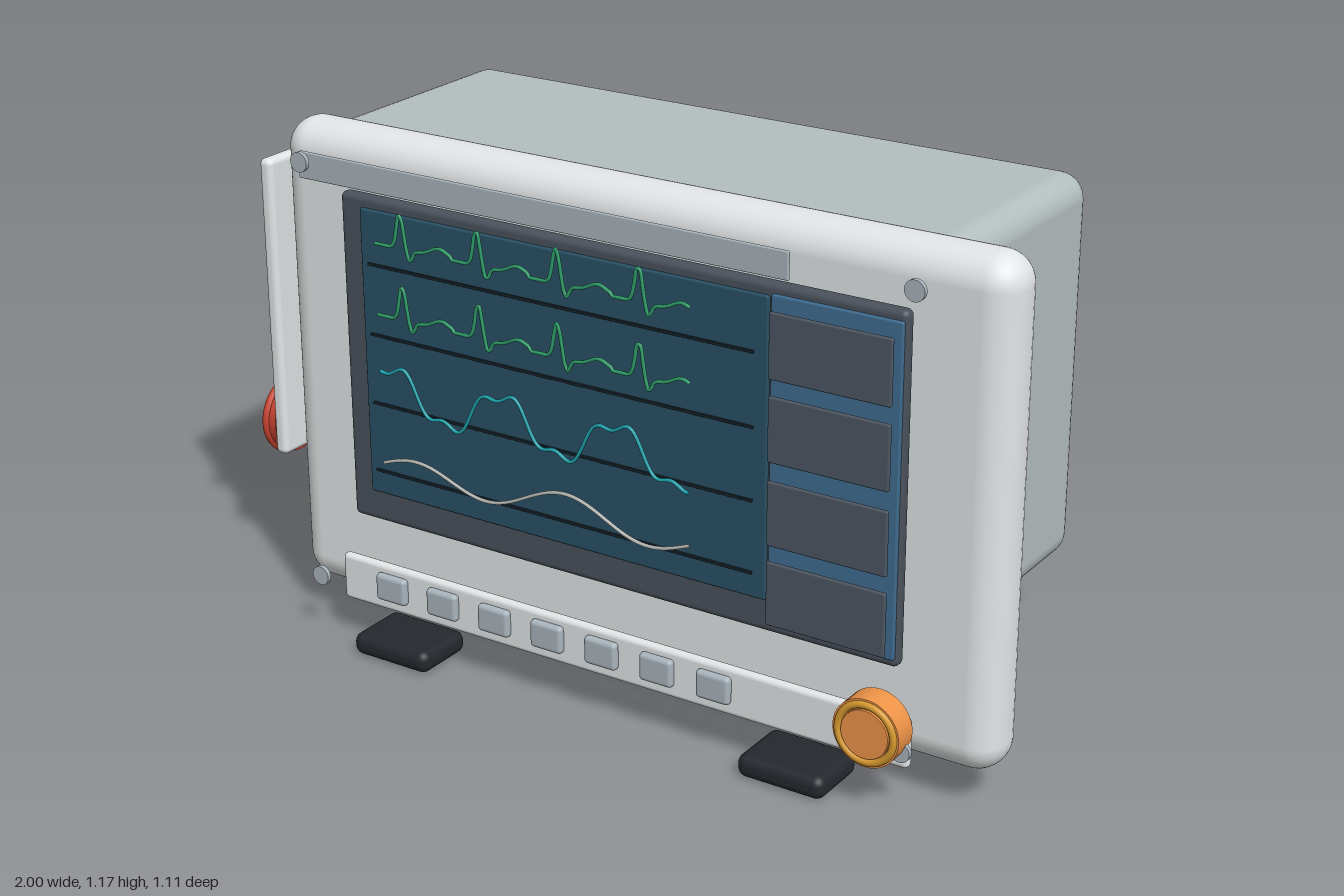
import * as THREE from 'three';
import { RoundedBoxGeometry } from 'three/addons/geometries/RoundedBoxGeometry.js';

const mat = (color) => new THREE.MeshStandardMaterial({ color });
const M = {
  body: mat(0xb4bebf), shell: mat(0xe2e5e6), light: mat(0xd0d6dc), silver: mat(0xa9b4bc),
  frame: mat(0x4a515b), blue: mat(0x3f6c90), screen: mat(0x285064), tile: mat(0x4c5661),
  black: mat(0x24282d), line: mat(0x17242c), orange: mat(0xee9448), gold: mat(0xd89a30),
  red: mat(0xc8432f), green: mat(0x2fa06c), cyan: mat(0x1fa5b0), white: mat(0xb9bdb8),
};

export function createModel() {
  const model = new THREE.Group();

  const add = (name, geometry, material, parent = model) => {
    const mesh = new THREE.Mesh(geometry, material);
    mesh.name = name;
    parent.add(mesh);
    return mesh;
  };
  // Rounded box given by its limits on each axis
  const box = (name, [x0, x1], [y0, y1], [z0, z1], r, material) => {
    const g = new RoundedBoxGeometry(x1 - x0, y1 - y0, z1 - z0, 5, r);
    add(name, g, material).position.set((x0 + x1) / 2, (y0 + y1) / 2, (z0 + z1) / 2);
  };
  // Disc facing +z, its back at z = z0
  const disc = (name, r, z0, depth, material, parent) => {
    const g = new THREE.CylinderGeometry(r, r, depth, 40).rotateX(Math.PI / 2);
    return add(name, g.translate(0, 0, z0 + depth / 2), material, parent);
  };

  // Housing and front bezel
  box('housing', [-0.89, 0.74], [0.175, 1.075], [-0.47, 0.28], 0.06, M.body);
  box('bezel', [-0.77, 1], [0.08, 1.17], [0.29, 0.43], 0.068, M.shell);
  box('rearHandle', [-0.925, -0.17], [0.225, 0.3], [-0.555, -0.385], 0.03, M.light);

  // Display
  box('screenFrame', [-0.57, 0.8], [0.3, 1.05], [0.435, 0.468], 0.014, M.frame);
  box('screen', [-0.51, 0.5], [0.375, 1.025], [0.465, 0.477], 0.004, M.screen);
  box('readoutPanel', [0.505, 0.795], [0.32, 1.03], [0.464, 0.475], 0.004, M.blue);
  for (const y of [0.4, 0.575, 0.755, 0.93])
    box('readoutTile', [0.51, 0.782], [y - 0.07, y + 0.07], [0.482, 0.492], 0.004, M.tile);
  for (const y of [0.43, 0.588, 0.746, 0.905])
    box('traceBaseline', [-0.49, 0.47], [y - 0.003, y + 0.003], [0.476, 0.482], 0.001, M.line);

  // Signal traces
  const bump = (t, c, w) => Math.exp(-(((t - c) / w) ** 2));
  const pulse = (x) => {
    const t = (((x + 0.46) / 0.2) % 1 + 1) % 1;
    return 0.075 * bump(t, 0.34, 0.06) - 0.025 * bump(t, 0.46, 0.05) + 0.018 * bump(t, 0.85, 0.15);
  };
  const wave = (x) => 0.63 + 0.055 * Math.cos((x + 0.14) * 21.7) + 0.015 * Math.cos((x + 0.1) * 65);
  const breath = (x) => 0.46 + 0.028 * Math.cos((x - 0.02) * 16) + 0.01 * Math.cos((x - 0.02) * 8);
  const traces = [
    [(x) => 0.96 + pulse(x), M.green], [(x) => 0.8 + pulse(x), M.green],
    [wave, M.cyan], [breath, M.white],
  ];
  for (const [f, material] of traces) {
    const pts = [];
    for (let i = 0; i <= 120; i++) {
      const x = -0.46 + (0.79 * i) / 120;
      pts.push(new THREE.Vector3(x, f(x), 0.49));
    }
    add('signalTrace', new THREE.TubeGeometry(new THREE.CatmullRomCurve3(pts), 300, 0.004, 6), material);
  }

  // Top strip and corner screws
  box('topStrip', [-0.67, 0.545], [1.065, 1.125], [0.471, 0.479], 0.003, M.silver);
  for (const x of [-0.65, 0.83])
    for (const y of [0.14, 1.108])
      disc('screw', 0.022, 0.492, 0.01, M.silver).position.set(x, y, 0);

  // Button strip
  box('buttonStrip', [-0.595, 0.84], [0.095, 0.205], [0.463, 0.487], 0.011, M.shell);
  for (let i = 0; i < 7; i++) {
    const x = -0.45 + i * 0.14;
    box('button', [x - 0.041, x + 0.041], [0.124, 0.188], [0.483, 0.504], 0.01, M.silver);
  }

  // Control knob
  const knob = new THREE.Group();
  knob.name = 'controlKnob';
  knob.position.set(0.77, 0.18, 0);
  model.add(knob);
  disc('knobBody', 0.075, 0.478, 0.056, M.orange, knob);
  disc('knobFace', 0.053, 0.534, 0.006, M.orange, knob);
  add('knobRing', new THREE.TorusGeometry(0.063, 0.008, 10, 40), M.gold, knob).position.z = 0.534;

  // Feet
  for (const x of [-0.422, 0.58])
    box('foot', [x - 0.102, x + 0.102], [0, 0.052], [0.4, 0.552], 0.022, M.black);

  // Side connector panel
  box('sidePanel', [-0.96, -0.925], [0.29, 1.01], [-0.235, 0.285], 0.014, M.shell);
  box('sidePlate', [-0.968, -0.955], [0.32, 0.97], [-0.205, 0.255], 0.004, M.light);

  // Sockets: a coloured collar and rim around a dark face, pointing to -x
  const socket = (y, z, r, material) => {
    const g = new THREE.Group();
    g.name = 'socket';
    g.position.set(0, y, z);
    g.rotation.y = -Math.PI / 2;
    model.add(g);
    disc('socketCollar', r * 0.92, 0.962, 0.026, material, g);
    disc('socketFace', r * 0.82, 0.986, 0.008, M.black, g);
    add('socketRim', new THREE.TorusGeometry(r * 0.9, r * 0.1, 8, 40), material, g).position.z = 0.99;
  };
  socket(0.84, -0.02, 0.072, M.blue);
  socket(0.64, -0.02, 0.065, M.frame);
  socket(0.44, -0.02, 0.07, M.orange);
  for (let i = 0; i < 4; i++) socket(0.885 - i * 0.127, 0.195, 0.044, M.blue);
  socket(0.355, 0.19, 0.095, M.red);

  return model;
}
